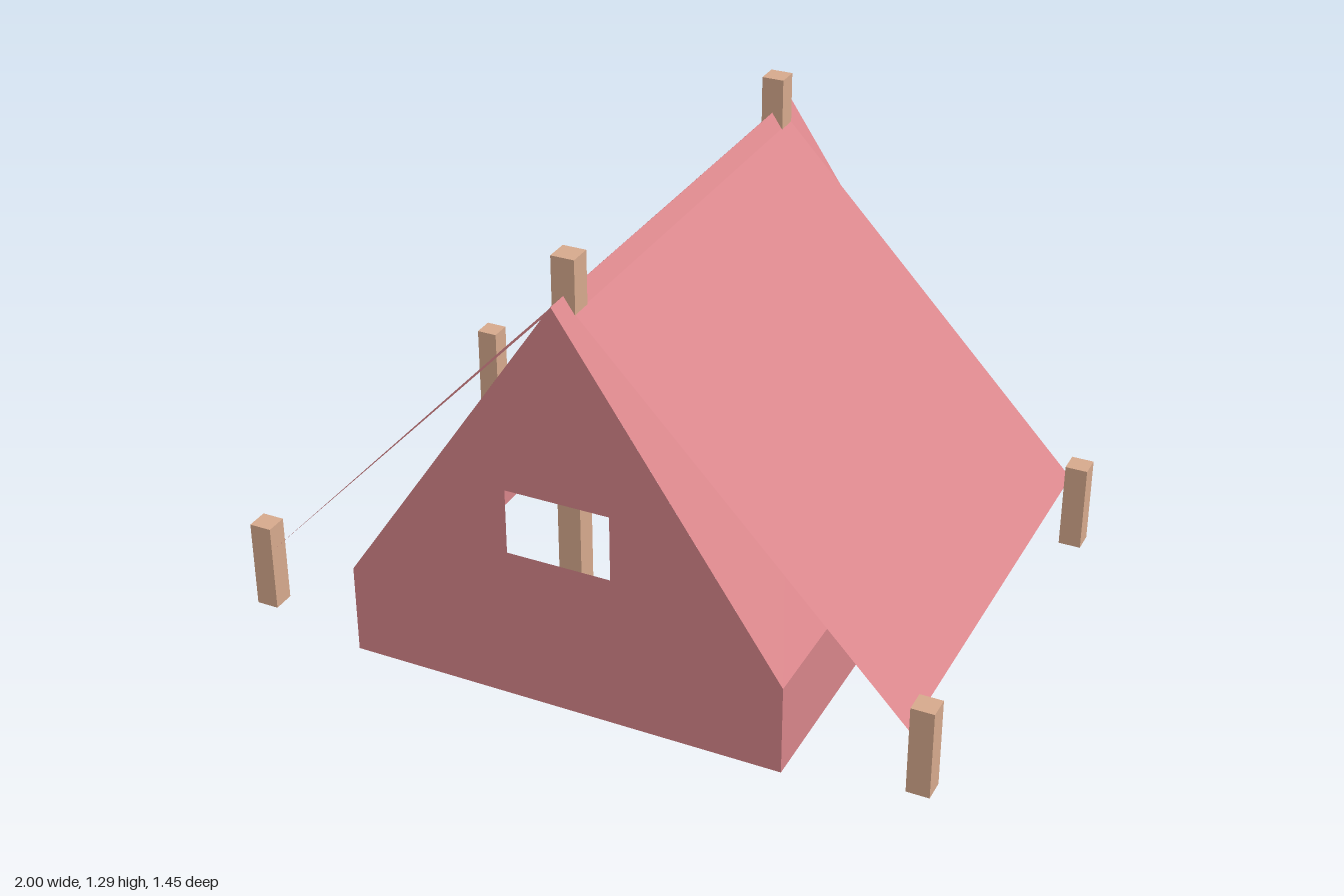
import * as THREE from 'three';

export function createModel() {
  const fabric = new THREE.MeshStandardMaterial({ color: 0xd9868b, side: THREE.DoubleSide });
  fabric.name = 'rose canvas';
  const wood = new THREE.MeshStandardMaterial({ color: 0xd8ab8e });
  wood.name = 'pale wood';

  const model = new THREE.Group();
  model.name = 'tent';

  const halfWidth = 0.625, eave = 0.26, ridge = 1.185, halfDepth = 0.727;
  const postSize = 0.064, postZ = 0.63;

  const add = (name, geometry, material, x = 0, y = 0, z = 0) => {
    const mesh = new THREE.Mesh(geometry, material);
    mesh.name = name;
    mesh.position.set(x, y, z);
    model.add(mesh);
    return mesh;
  };

  // Flat cloth panel between two points of the cross-section, stretched along z
  const panel = (name, [x0, y0], [x1, y1], depth) => {
    const geometry = new THREE.BufferGeometry();
    geometry.setAttribute('position', new THREE.Float32BufferAttribute([
      x0, y0, depth, x0, y0, -depth, x1, y1, -depth, x1, y1, depth,
    ], 3));
    // Wind each side so that its front faces outward
    geometry.setIndex(x0 > 0 ? [0, 1, 2, 0, 2, 3] : [0, 2, 1, 0, 3, 2]);
    geometry.computeVertexNormals();
    add(name, geometry, fabric);
  };

  // Gable outline, shared by both end walls
  const gable = () => new THREE.Shape([
    [-halfWidth, 0], [halfWidth, 0], [halfWidth, eave], [0, ridge], [-halfWidth, eave],
  ].map(([x, y]) => new THREE.Vector2(x, y)));

  // Front wall with a window opening, plain back wall
  const front = gable();
  front.holes.push(new THREE.Path([
    [-0.148, 0.445], [-0.148, 0.632], [0.148, 0.632], [0.148, 0.445],
  ].map(([x, y]) => new THREE.Vector2(x, y))));
  add('frontWall', new THREE.ShapeGeometry(front), fabric, 0, 0, halfDepth);
  add('backWall', new THREE.ShapeGeometry(gable()), fabric, 0, 0, -halfDepth).rotation.y = Math.PI;

  for (const [side, s] of [['left', 1], ['right', -1]]) {
    // Side wall, roof slope and outer fly sheet
    panel(side + 'Wall', [s * halfWidth, 0], [s * halfWidth, eave], halfDepth);
    panel(side + 'Roof', [s * halfWidth, eave], [0.0001 * s, ridge], halfDepth);
    panel(side + 'FlySheet', [s * 0.936, 0.188], [s * 0.03, 1.142], 0.661);

    // Short corner posts holding the fly sheet
    for (const z of [postZ, -postZ]) {
      add(side + (z > 0 ? 'Front' : 'Back') + 'Post',
        new THREE.BoxGeometry(postSize, 0.258, postSize), wood, s * 0.968, 0.129, z);
    }
  }

  // Tall poles carrying the ridge
  for (const z of [postZ, -postZ]) {
    add(z > 0 ? 'frontRidgePole' : 'backRidgePole',
      new THREE.BoxGeometry(postSize, 1.287, postSize), wood, 0, 0.6435, z);
  }

  return model;
}
